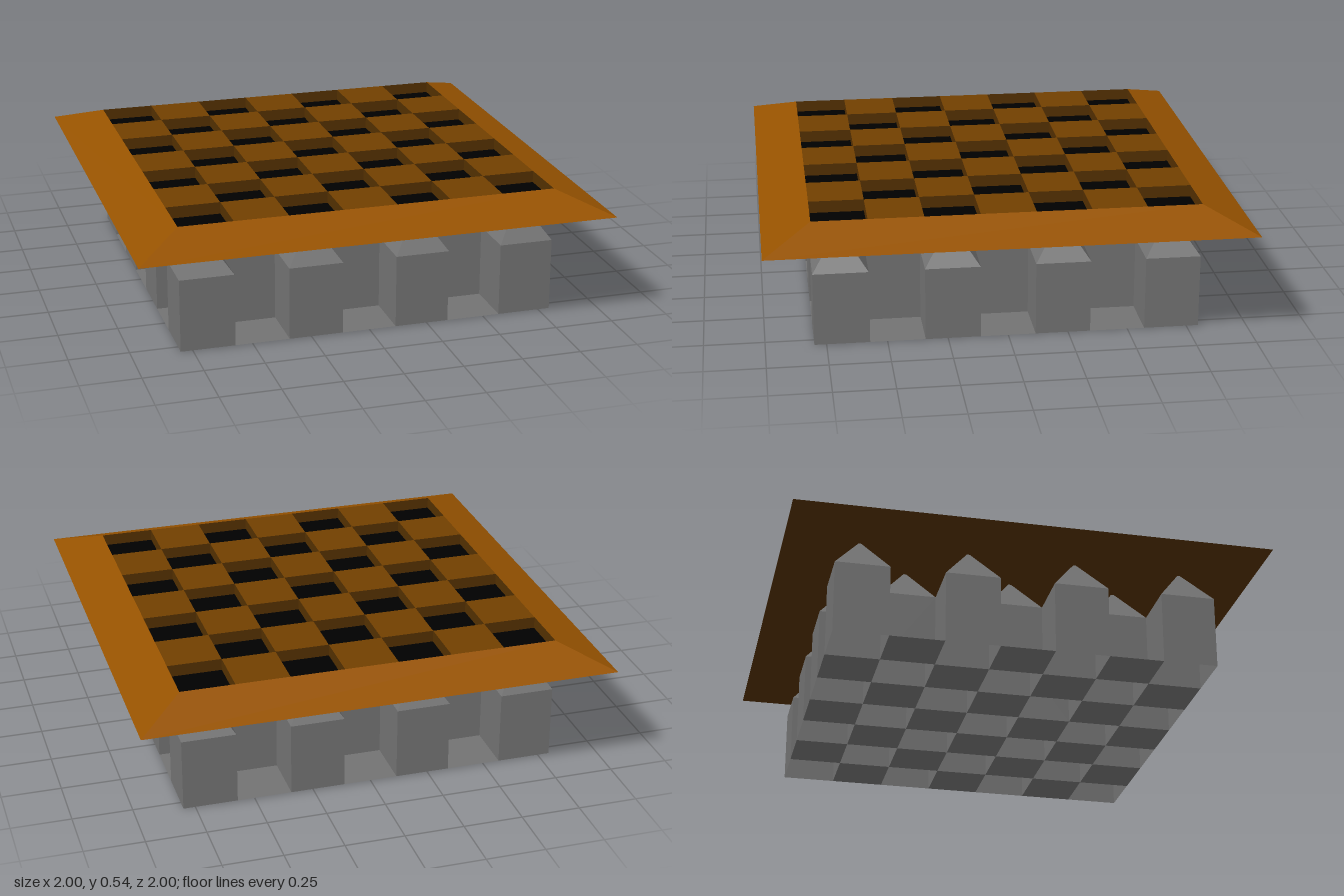
import * as THREE from 'three';

const N = 7, CELL = 1.6 / N;
const FLOOR_Y = 0.49, TOP_Y = 0.54, BASE_Y = 0.462, SHAFT = 0.31, TIP_Y = 0.47;

function material(name, color, side = THREE.FrontSide) {
  const m = new THREE.MeshStandardMaterial({ color, side });
  m.name = name;
  return m;
}

// Open four-sided frustum, square to the axes, given half widths
function squareFrustum(topHalf, bottomHalf, y0, y1) {
  const g = new THREE.CylinderGeometry(topHalf * Math.SQRT2, bottomHalf * Math.SQRT2, y1 - y0, 4, 1, true);
  g.rotateY(Math.PI / 4);
  g.translate(0, (y0 + y1) / 2, 0);
  return g;
}

function faceted(g) {
  const flat = g.toNonIndexed();
  flat.computeVertexNormals();
  return flat;
}

export function createModel() {
  const model = new THREE.Group();
  model.name = 'latticeBoard';

  const rimBrown = material('rimBrown', 0x965200);
  const squareBrown = material('squareBrown', 0x713f00);
  const darkBrown = material('darkBrown', 0x543000);
  const black = material('black', 0x000000);
  const grey = material('grey', 0x737373, THREE.DoubleSide);

  const add = (parent, name, geometry, mat, x = 0, y = 0, z = 0) => {
    const mesh = new THREE.Mesh(geometry, mat);
    mesh.name = name;
    mesh.position.set(x, y, z);
    parent.add(mesh);
  };

  // Sloped frame around the board
  add(model, 'slopedRim', faceted(squareFrustum(0.8, 1, BASE_Y, TOP_Y)), rimBrown);

  // Flat underside
  const under = new THREE.PlaneGeometry(2, 2).rotateX(Math.PI / 2);
  add(model, 'underside', under, darkBrown, 0, BASE_Y, 0);

  // Inward-facing walls where the outer recesses meet the frame
  const walls = squareFrustum(0.8, 0.8, FLOOR_Y, TOP_Y);
  walls.scale(-1, 1, 1);
  add(model, 'recessWalls', faceted(walls), darkBrown);

  // Black floor of all recesses
  const floor = new THREE.PlaneGeometry(1.6, 1.6).rotateX(-Math.PI / 2);
  add(model, 'recessFloor', floor, black, 0, FLOOR_Y, 0);

  // Raised squares alternate with recesses
  const squares = new THREE.Group();
  squares.name = 'raisedSquares';
  // Hollow pointed posts, open below, joined by floor panels at the foot
  const lattice = new THREE.Group();
  lattice.name = 'hollowPostLattice';
  model.add(squares, lattice);

  const squareTop = new THREE.PlaneGeometry(CELL, CELL).rotateX(-Math.PI / 2);
  const squareSides = faceted(squareFrustum(CELL / 2, CELL / 2, FLOOR_Y, TOP_Y));
  const shaft = faceted(squareFrustum(CELL / 2, CELL / 2, 0, SHAFT));
  const point = faceted(squareFrustum(0, CELL / 2, SHAFT, TIP_Y));

  for (let i = 0; i < N; i++) {
    for (let j = 0; j < N; j++) {
      const x = (i - (N - 1) / 2) * CELL;
      const z = (j - (N - 1) / 2) * CELL;
      if ((i + j) % 2) {
        add(squares, 'squareTop', squareTop, squareBrown, x, TOP_Y, z);
        add(squares, 'squareSides', squareSides, darkBrown, x, 0, z);
        add(lattice, 'footPanel', squareTop, grey, x, 0, z);
      } else {
        add(lattice, 'postShaft', shaft, grey, x, 0, z);
        add(lattice, 'postPoint', point, grey, x, 0, z);
      }
    }
  }
  return model;
}
